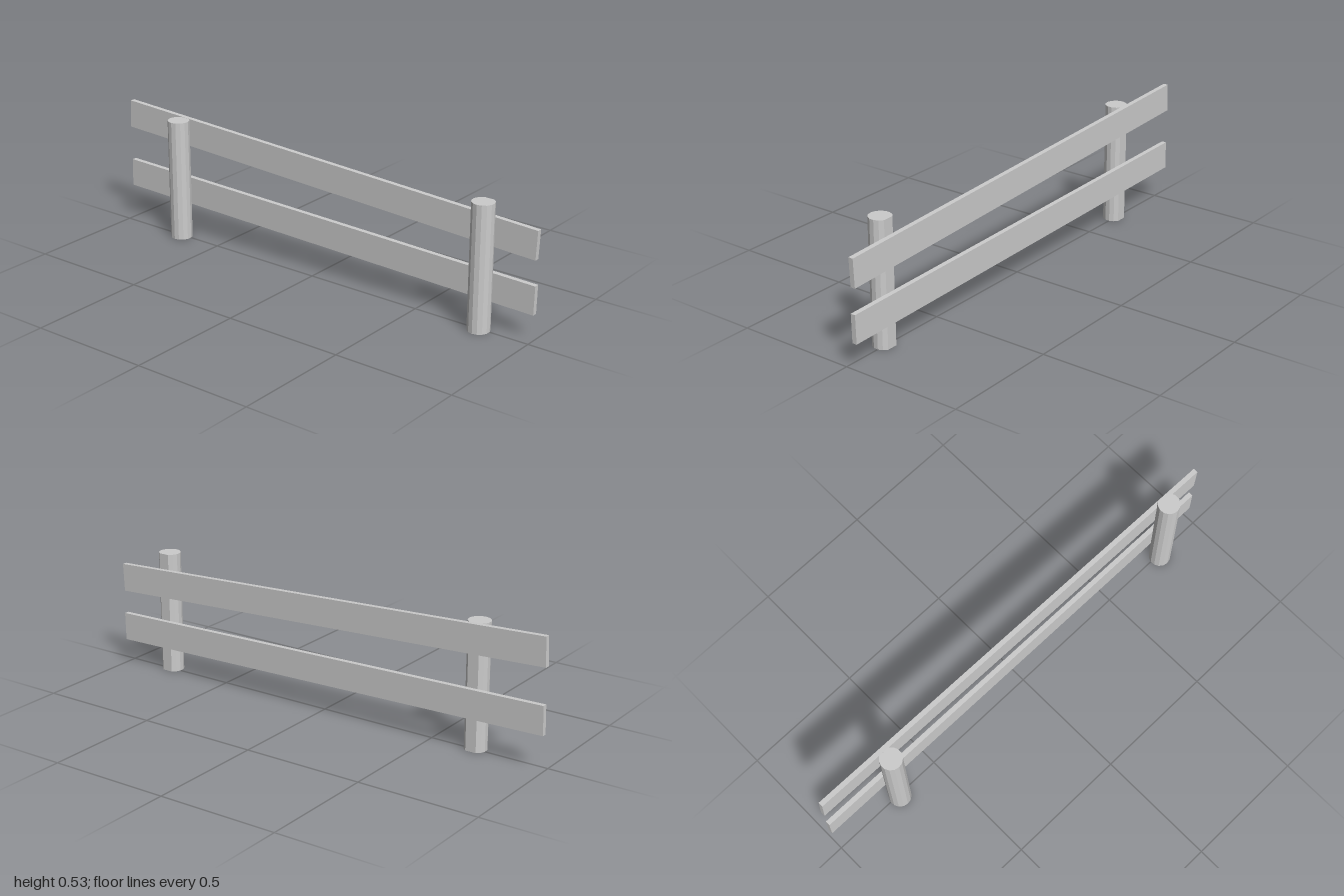
import * as THREE from 'three';

export function createModel() {
  const group = new THREE.Group();
  const material = new THREE.MeshStandardMaterial({ color: 0xcccccc, flatShading: true });

  // Faceted round post with a flat side where the boards are fixed
  const radius = 0.045, height = 0.512, segments = 12;
  const points = [];
  for (let i = 0; i <= segments; i++) {
    const a = THREE.MathUtils.degToRad(30 + (300 * i) / segments);
    points.push(new THREE.Vector2(radius * Math.cos(a), radius * Math.sin(a)));
  }
  const postGeometry = new THREE.ExtrudeGeometry(new THREE.Shape(points), { depth: height, bevelEnabled: false });
  postGeometry.rotateX(-Math.PI / 2);
  for (const [name, z] of [['frontPost', 0.79], ['backPost', -0.69]]) {
    const post = new THREE.Mesh(postGeometry, material);
    post.name = name;
    post.position.set(-0.007, 0, z);
    group.add(post);
  }

  // Two rails, each tilted up towards the back
  const rails = [
    ['upperRail', 0.4235, 0.045, 1.997],
    ['lowerRail', 0.183, 0.0215, 1.998],
  ];
  for (const [name, y, tilt, length] of rails) {
    const rail = new THREE.Mesh(new THREE.BoxGeometry(0.02, 0.117, length), material);
    rail.name = name;
    rail.position.set(0.041, y, 0);
    rail.rotation.x = tilt;
    group.add(rail);
  }
  return group;
}
